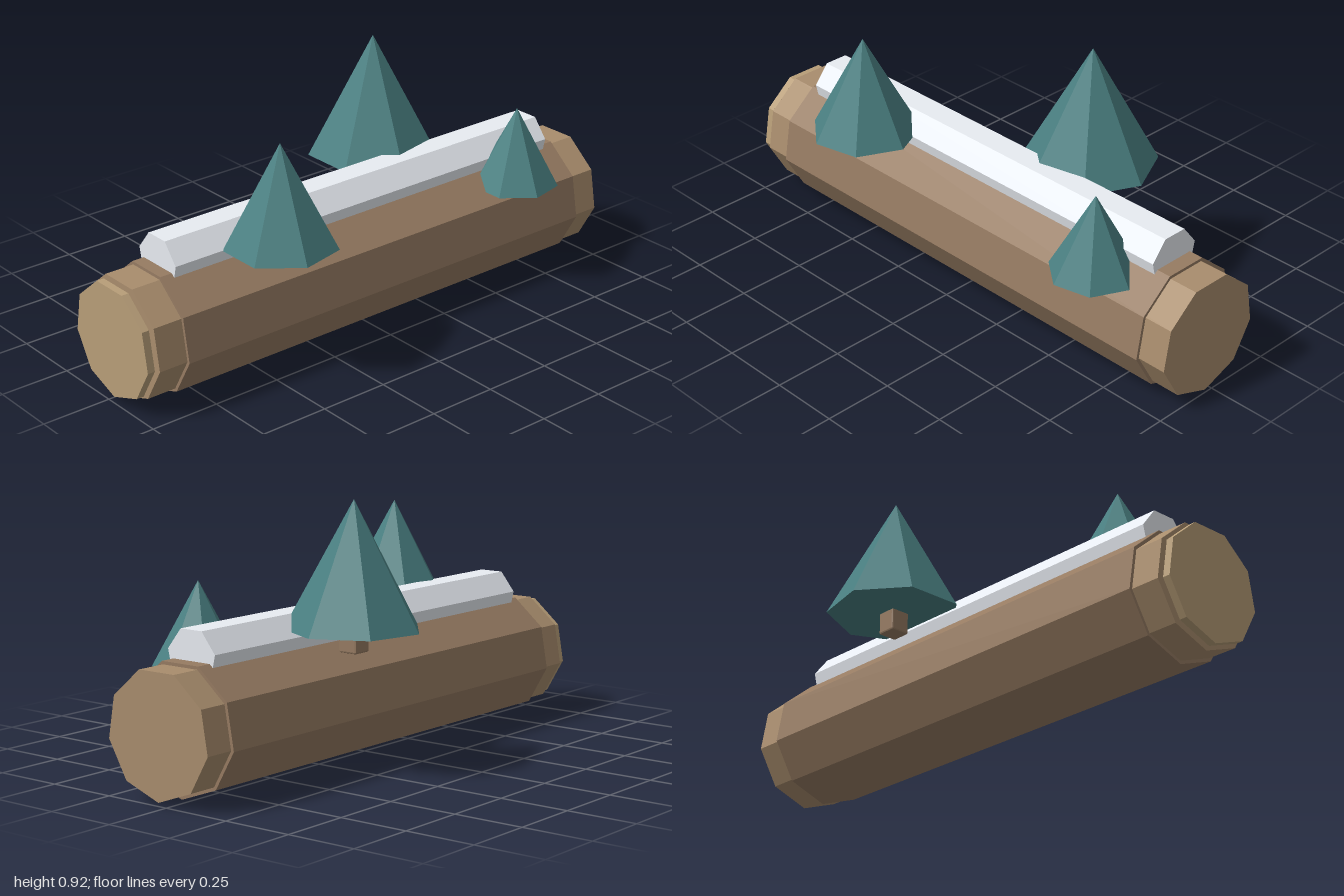
import * as THREE from 'three';
import { RoundedBoxGeometry } from 'three/addons/geometries/RoundedBoxGeometry.js';

const mat = (color) => new THREE.MeshStandardMaterial({ color, flatShading: true });
const bark = mat(0x967b62);
const wood = mat(0xa98d6d);
const paleWood = mat(0xb89e78);
const snow = mat(0xe8ecf2);
const needles = mat(0x4a8082);

const AXIS_Z = 0.033;

function add(parent, name, geometry, material, x, y, z) {
  const mesh = new THREE.Mesh(geometry, material);
  mesh.name = name;
  mesh.position.set(x, y, z);
  parent.add(mesh);
  return mesh;
}

// Prism lying along x, with one corner pointing straight down
function lyingPrism(parent, name, material, sides, radius, x0, x1, y) {
  const geometry = new THREE.CylinderGeometry(radius, radius, x1 - x0, sides, 1, false, Math.PI / 2);
  geometry.rotateZ(-Math.PI / 2);
  add(parent, name, geometry, material, (x0 + x1) / 2, y, AXIS_Z);
}

// Seven-sided cone on a short square trunk
function addTree(parent, t) {
  const tree = new THREE.Group();
  tree.name = t.name;
  tree.position.set(t.x, 0, t.z);
  const cone = new THREE.ConeGeometry(t.radius, t.top - t.base, 7);
  cone.rotateY(Math.PI / 2);
  add(tree, 'foliage', cone, needles, 0, (t.top + t.base) / 2, 0);
  const height = t.base + 0.03 - t.foot;
  const trunk = new RoundedBoxGeometry(t.trunk, height, t.trunk, 1, 0.006);
  add(tree, 'trunk', trunk, bark, 0, t.foot + height / 2, 0);
  parent.add(tree);
}

export function createModel() {
  const model = new THREE.Group();
  model.name = 'snowyLog';

  // Nine-sided log: bark sleeve, inner wood and a separate end slice
  const log = new THREE.Group();
  log.name = 'log';
  model.add(log);
  lyingPrism(log, 'barkSleeve', bark, 9, 0.2265, -0.855, 0.893, 0.2265);
  lyingPrism(log, 'innerWood', wood, 9, 0.215, -0.962, 1, 0.2265);
  lyingPrism(log, 'endSlice', paleWood, 9, 0.203, -1, -0.973, 0.2265);

  // Strip of snow on top
  lyingPrism(model, 'snowStrip', snow, 7, 0.103, -0.81, 0.84, 0.447);

  // Trees
  [
    { name: 'frontRightTree', x: -0.445, z: 0.213, top: 0.825, base: 0.467, radius: 0.195, trunk: 0.052, foot: 0.4 },
    { name: 'backTree', x: 0.275, z: -0.173, top: 0.918, base: 0.487, radius: 0.235, trunk: 0.072, foot: 0.41 },
    { name: 'frontLeftTree', x: 0.637, z: 0.188, top: 0.66, base: 0.375, radius: 0.155, trunk: 0.048, foot: 0.355 },
  ].forEach((t) => addTree(model, t));

  return model;
}
